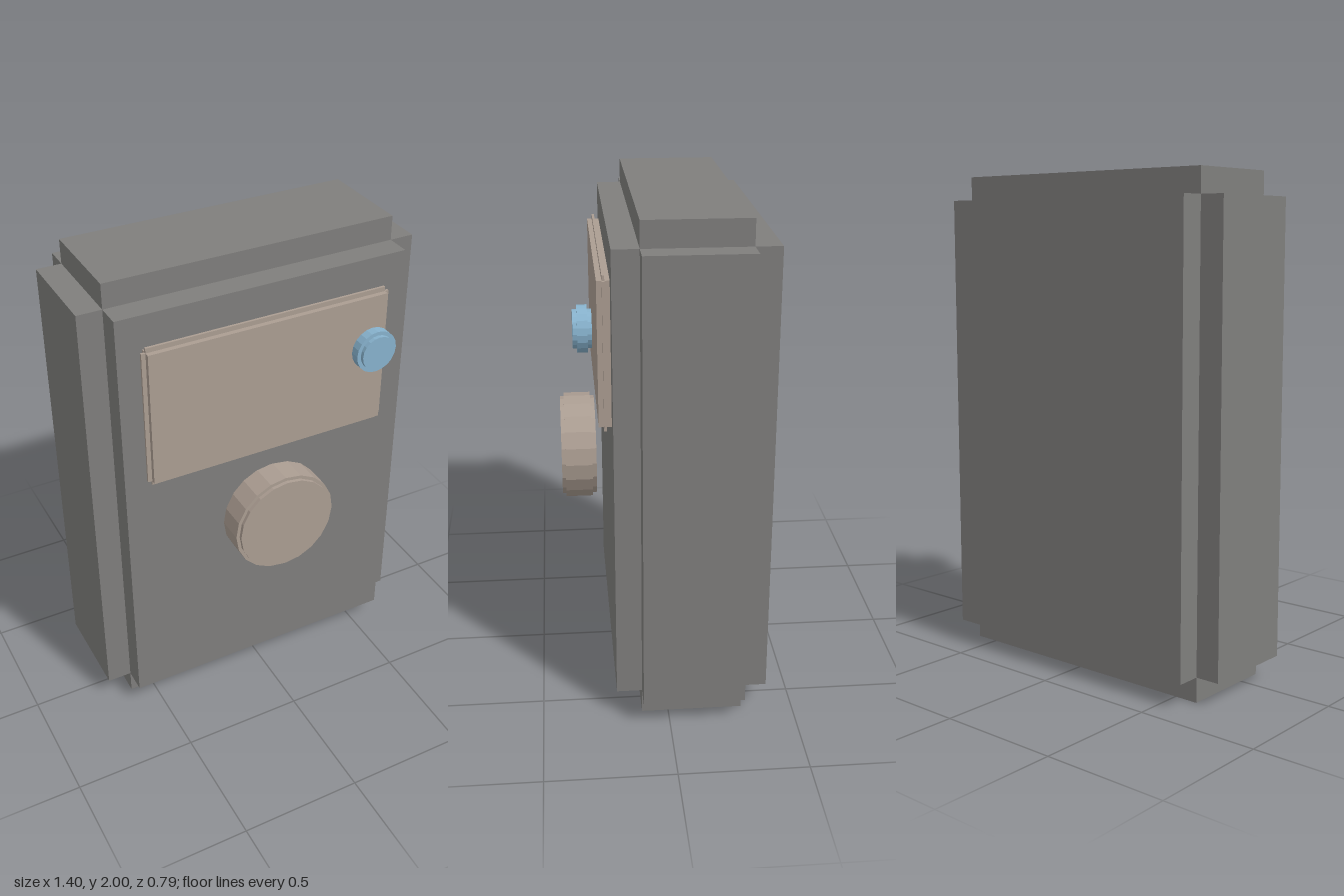
import * as THREE from 'three';

const mat = (name, color) => {
  const m = new THREE.MeshStandardMaterial({ color });
  m.name = name;
  return m;
};

export function createModel() {
  const grey = mat('casing grey', 0x7f7e7c);
  const beige = mat('panel beige', 0xab9d92);
  const blue = mat('button blue', 0x87b2cd);
  const model = new THREE.Group();
  model.name = 'doorIntercomBox';

  const addGroup = (name) => {
    const g = new THREE.Group();
    g.name = name;
    model.add(g);
    return g;
  };

  // Box given by its lower and upper corner
  const box = (parent, name, material, lo, hi) => {
    const size = hi.map((v, i) => v - lo[i]);
    const mesh = new THREE.Mesh(new THREE.BoxGeometry(...size), material);
    mesh.position.set(...hi.map((v, i) => (v + lo[i]) / 2));
    mesh.name = name;
    parent.add(mesh);
  };

  // Disc facing +z with a wider band around its middle
  const steppedDisc = (name, material, x, y, rings) => {
    const g = addGroup(name);
    for (const [part, r, z0, z1] of rings) {
      const geo = new THREE.CylinderGeometry(r, r, z1 - z0, 20).toNonIndexed();
      geo.rotateX(Math.PI / 2);
      geo.computeVertexNormals();
      const mesh = new THREE.Mesh(geo, material);
      mesh.position.set(x, y, (z0 + z1) / 2);
      mesh.name = part;
      g.add(mesh);
    }
  };

  // Casing: three crossing slabs leave stepped edges
  const casing = addGroup('casing');
  box(casing, 'sideSlab', grey, [-0.7, 0.1, -0.295], [0.7, 1.9, 0.105]);
  box(casing, 'uprightSlab', grey, [-0.6, 0, -0.295], [0.6, 2, 0.105]);
  box(casing, 'frontBackSlab', grey, [-0.6, 0.1, -0.395], [0.6, 1.9, 0.205]);

  // Panel with a thin notched rim
  const panel = addGroup('panel');
  box(panel, 'panelFace', beige, [-0.5, 1.203, 0.205], [0.5, 1.763, 0.254]);
  box(panel, 'panelSideRim', beige, [-0.517, 1.203, 0.224], [0.517, 1.763, 0.234]);
  box(panel, 'panelTopBottomRim', beige, [-0.5, 1.185, 0.224], [0.5, 1.782, 0.234]);

  steppedDisc('knob', beige, 0, 0.922, [
    ['knobCore', 0.204, 0.255, 0.395],
    ['knobBand', 0.218, 0.272, 0.38],
  ]);
  steppedDisc('button', blue, 0.42, 1.563, [
    ['buttonCore', 0.072, 0.271, 0.341],
    ['buttonBand', 0.088, 0.287, 0.325],
  ]);
  return model;
}
